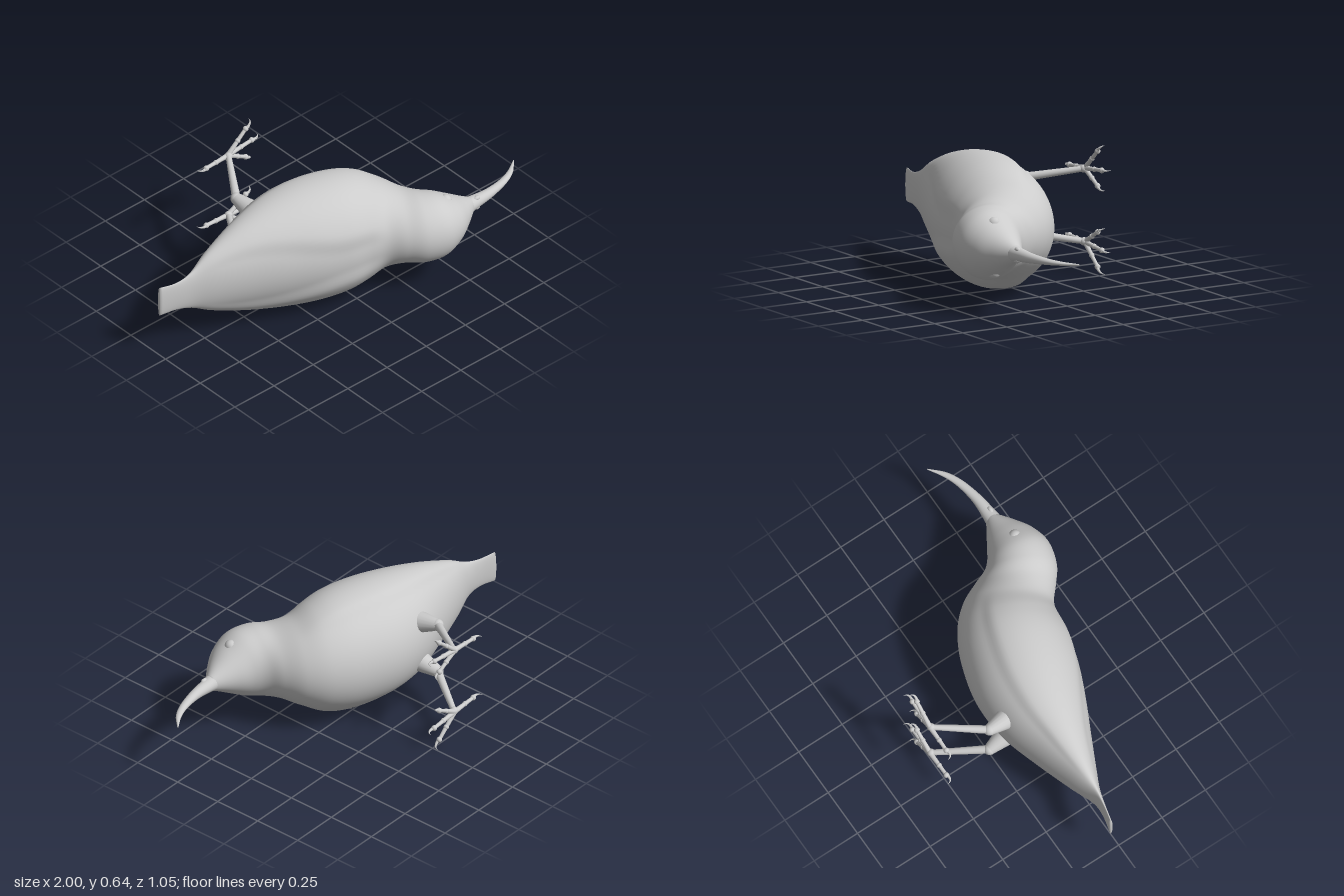
import * as THREE from 'three';

const MID = 0.32; // height of the mirror plane
const V = (x, y, z) => new THREE.Vector3(x, y, z);
const step = THREE.MathUtils.smoothstep;
const material = new THREE.MeshStandardMaterial({ color: 0xcccccc, side: THREE.DoubleSide });

// Skin over stations [bellyX, bellyZ, backX, backZ, halfWidth]; swell(s, angle) scales a ring point
function loft(stations, rows, cols, swell = () => 1) {
  const belly = new THREE.CatmullRomCurve3(stations.map(s => V(s[0], s[4], s[1])), false, 'catmullrom', 0.5);
  const back = new THREE.CatmullRomCurve3(stations.map(s => V(s[2], s[4], s[3])), false, 'catmullrom', 0.5);
  const pos = [], index = [];
  for (let i = -1; i <= rows + 1; i++) {
    const t = THREE.MathUtils.clamp(i / rows, 0, 1);
    const size = i < 0 || i > rows ? 0 : 1; // closed ends
    const p = belly.getPoint(t), q = back.getPoint(t);
    for (let j = 0; j < cols; j++) {
      const a = j / cols * Math.PI * 2;
      const k = size * swell(t * (stations.length - 1), Math.acos(Math.cos(a)));
      const c = Math.cos(a) * k / 2;
      pos.push((p.x + q.x) / 2 + (q.x - p.x) * c, MID + Math.sin(a) * k * p.y, (p.z + q.z) / 2 + (q.z - p.z) * c);
    }
  }
  for (let i = 0; i < rows + 2; i++) {
    for (let j = 0; j < cols; j++) {
      const a = i * cols + j, b = i * cols + (j + 1) % cols;
      index.push(a, a + cols, b + cols, a, b + cols, b);
    }
  }
  const g = new THREE.BufferGeometry();
  g.setAttribute('position', new THREE.Float32BufferAttribute(pos, 3));
  g.setIndex(index);
  g.computeVertexNormals();
  return g;
}

// Folded wings: a low swelling along each flank with soft edges
function wingSwell(s, a) {
  const along = step(s, 2.2, 4.2) * (1 - step(s, 7.4, 9.2));
  const inner = THREE.MathUtils.lerp(0.75, 0.28, step(s, 3, 7));
  const across = step(a, inner - 0.12, inner + 0.2) * (1 - step(a, 1.85, 2.15));
  return 0.985 + 0.06 * along * across + 0.015 * (1 - along);
}

function add(parent, name, geometry) {
  const mesh = new THREE.Mesh(geometry, material);
  mesh.name = name;
  parent.add(mesh);
  return mesh;
}

function ball(parent, name, p, r) {
  const mesh = add(parent, name, new THREE.SphereGeometry(r, 16, 12));
  mesh.position.copy(p);
  return mesh;
}

// Tapered round limb between two points
function limb(parent, name, p, q, r0, r1) {
  const mesh = add(parent, name, new THREE.CylinderGeometry(r1, r0, p.distanceTo(q), 16));
  mesh.position.copy(p).lerp(q, 0.5);
  mesh.quaternion.setFromUnitVectors(V(0, 1, 0), q.clone().sub(p).normalize());
  return mesh;
}

// Toe with knuckles and a hooked claw, running out in the plane of the foot
function makeToe(foot, tip) {
  const toe = new THREE.Group();
  toe.name = 'toe';
  const root = V(-0.15, 0.18, -0.512);
  const at = (t, dz) => V(THREE.MathUtils.lerp(root.x, tip[0], t), THREE.MathUtils.lerp(root.y, tip[1], t), root.z + dz);
  limb(toe, 'toeBone', root, at(0.42, 0), 0.013, 0.010);
  ball(toe, 'knuckle', at(0.42, 0), 0.013);
  limb(toe, 'toeTip', at(0.42, 0), at(0.76, 0), 0.010, 0.009);
  ball(toe, 'knuckle', at(0.76, 0), 0.014);
  const path = new THREE.QuadraticBezierCurve3(at(0.76, 0.002), at(0.98, 0.012), at(1, -0.02));
  for (let i = 0; i < 6; i++) {
    limb(toe, 'claw', path.getPoint(i / 6), path.getPoint((i + 1) / 6), 0.009 - i * 0.0014, 0.0076 - i * 0.0014);
  }
  foot.add(toe);
}

// Leg on the +y flank, measured from the mirror plane
function makeLeg() {
  const leg = new THREE.Group();
  leg.name = 'leg';
  const hip = V(-0.295, 0.115, -0.18), knee = V(-0.305, 0.136, -0.275), ankle = V(-0.15, 0.178, -0.507);
  limb(leg, 'thigh', hip, knee, 0.052, 0.029);
  ball(leg, 'knee', knee, 0.029);
  limb(leg, 'shank', knee, ankle, 0.021, 0.014);
  ball(leg, 'ankle', ankle, 0.02);
  [[-0.33, 0.17], [0.05, 0.2], [0.0, 0.315], [0.0, 0.092]].forEach(tip => makeToe(leg, tip));
  return leg;
}

export function createModel() {
  const bird = new THREE.Group();
  bird.name = 'bird';

  // Tail, trunk, neck and head in one skin
  add(bird, 'body', loft([
    [-1.00, -0.055, -1.00, -0.035, 0.083],
    [-0.91, -0.036, -0.91, -0.012, 0.080],
    [-0.83, -0.040, -0.82, 0.015, 0.105],
    [-0.70, -0.088, -0.72, 0.062, 0.170],
    [-0.50, -0.158, -0.56, 0.142, 0.236],
    [-0.30, -0.215, -0.40, 0.222, 0.282],
    [-0.10, -0.222, -0.24, 0.292, 0.304],
    [0.10, -0.170, -0.10, 0.333, 0.300],
    [0.24, -0.095, 0.02, 0.350, 0.268],
    [0.33, 0.000, 0.10, 0.372, 0.218],
    [0.38, 0.100, 0.17, 0.430, 0.182],
    [0.41, 0.175, 0.25, 0.490, 0.178],
    [0.45, 0.222, 0.36, 0.520, 0.165],
    [0.51, 0.262, 0.46, 0.500, 0.122],
    [0.57, 0.300, 0.54, 0.455, 0.078],
    [0.625, 0.335, 0.625, 0.395, 0.036],
  ], 120, 96, wingSwell));

  // Long curved beak
  add(bird, 'beak', loft([
    [0.60, 0.325, 0.60, 0.407, 0.043],
    [0.65, 0.331, 0.65, 0.400, 0.034],
    [0.74, 0.336, 0.745, 0.387, 0.025],
    [0.84, 0.322, 0.855, 0.358, 0.016],
    [0.92, 0.294, 0.935, 0.317, 0.010],
    [1.00, 0.247, 1.00, 0.253, 0.004],
  ], 30, 24));

  // Mirrored eyes, nostrils and legs
  for (const side of [1, -1]) {
    const name = side > 0 ? 'upper' : 'lower';
    ball(bird, name + 'Eye', V(0.448, MID + side * 0.118, 0.382), 0.032);
    ball(bird, name + 'Nostril', V(0.652, MID + side * 0.027, 0.378), 0.012).scale.x = 1.6;
    const leg = makeLeg();
    leg.name = name + 'Leg';
    leg.scale.y = side;
    leg.position.y = MID;
    bird.add(leg);
  }
  return bird;
}
